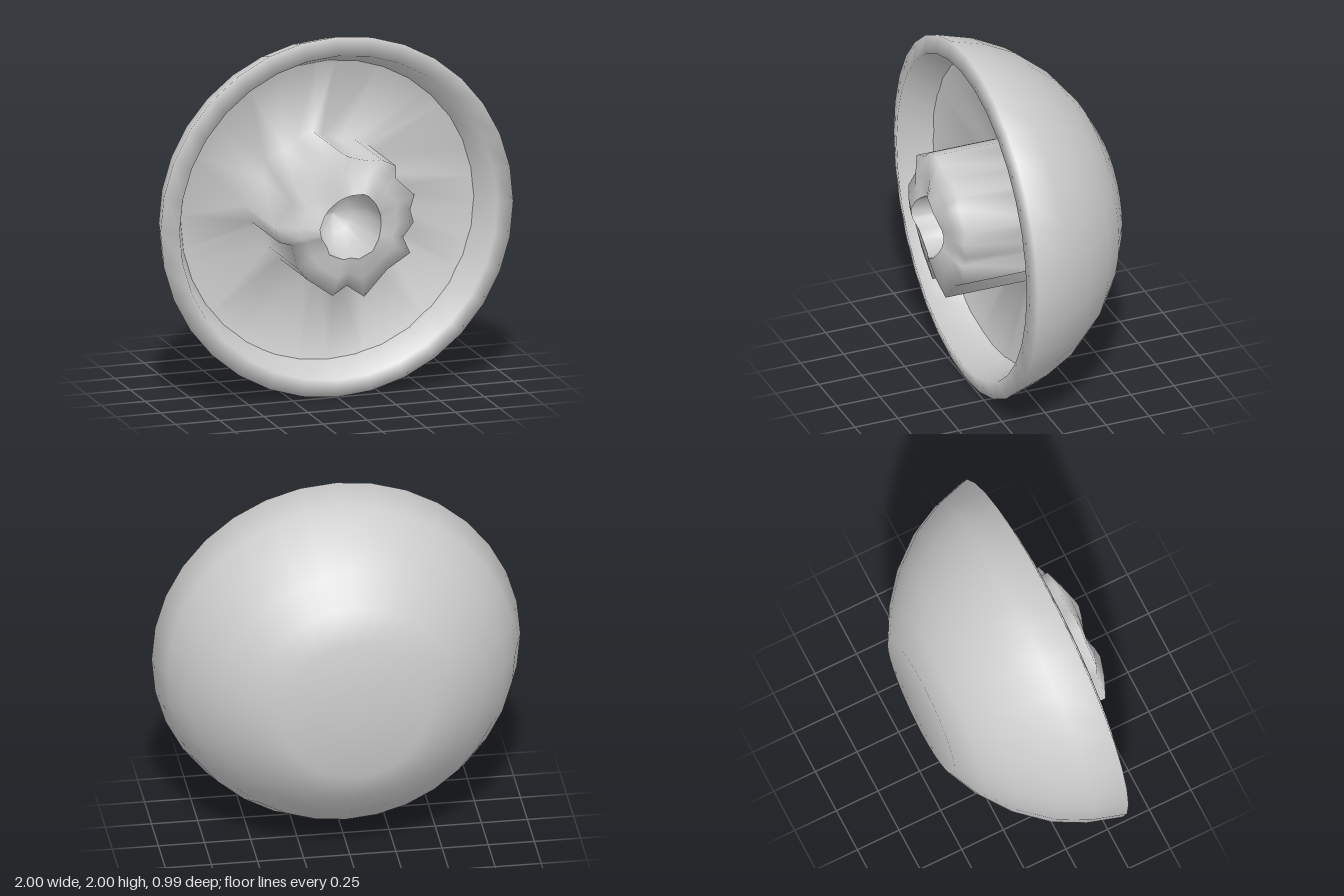
import * as THREE from 'three';

const TAU = Math.PI * 2;
const CENTRE_Y = 1;

// Uneven outlines as x, y pairs about the axis
const COLUMN = [
  [0.36, 0.05], [0.385, 0.13], [0.28, 0.23], [0.28, 0.30], [0.2, 0.34], [0.13, 0.34], [0.02, 0.37],
  [-0.03, 0.40], [-0.12, 0.37], [-0.19, 0.31], [-0.30, 0.26], [-0.31, 0.15], [-0.41, 0.02],
  [-0.38, -0.07], [-0.31, -0.09], [-0.28, -0.22], [-0.22, -0.29], [-0.08, -0.39], [0, -0.34],
  [0.10, -0.41], [0.23, -0.27], [0.36, -0.19], [0.32, -0.10], [0.38, -0.02],
];
const HOLE = [
  [0.18, 0], [0.13, 0.13], [0.08, 0.18], [-0.03, 0.16], [-0.09, 0.12], [-0.15, 0.07], [-0.18, 0.02],
  [-0.13, -0.10], [-0.09, -0.18], [0.02, -0.16], [0.05, -0.18], [0.16, -0.08],
];

const angleOf = ([x, y]) => (Math.atan2(y, x) + TAU) % TAU;

// Radius of an outline at any angle
function polar(outline) {
  const p = outline.map(q => [angleOf(q), Math.hypot(...q)]).sort((a, b) => a[0] - b[0]);
  const n = p.length;
  const all = [[p[n - 1][0] - TAU, p[n - 1][1]], ...p, [p[0][0] + TAU, p[0][1]]];
  return a => {
    let i = 0;
    while (i < n && all[i + 1][0] < a) i++;
    const [a0, r0] = all[i], [a1, r1] = all[i + 1];
    return r0 + (r1 - r0) * (a - a0) / (a1 - a0);
  };
}

// Smooth surface through rings; each ring maps an angle to [radius, z]
function loft(angles, rings) {
  const n = angles.length, pos = [], index = [];
  for (const ring of rings) {
    for (const a of angles) {
      const [r, z] = ring(a);
      pos.push(r * Math.cos(a), r * Math.sin(a), z);
    }
  }
  for (let k = 0; k < rings.length - 1; k++) {
    for (let i = 0; i < n; i++) {
      const j = (i + 1) % n;
      const a = k * n + i, b = k * n + j, c = a + n, d = b + n;
      index.push(a, b, d, a, d, c);
    }
  }
  const geo = new THREE.BufferGeometry();
  geo.setAttribute('position', new THREE.Float32BufferAttribute(pos, 3));
  geo.setIndex(index);
  geo.computeVertexNormals();
  return geo;
}

export function createModel() {
  const group = new THREE.Group();
  const material = new THREE.MeshStandardMaterial({ color: 0xcccccc, side: THREE.DoubleSide });
  const add = (name, geometry) => {
    const mesh = new THREE.Mesh(geometry, material);
    mesh.name = name;
    mesh.position.y = CENTRE_Y;
    group.add(mesh);
  };

  // Domed shell with a rolled rim, closed by a flat back
  const round = Array.from({ length: 32 }, (_, i) => i / 32 * TAU);
  const profile = [
    [0.02, -0.492], [0.4, -0.492], [0.57, -0.4], [0.72, -0.28], [0.86, -0.11], [0.945, 0.06],
    [1, 0.25], [0.9, 0.275], [0.83, 0.09],
  ];
  add('bowlShell', loft(round, [() => [0, -0.492], ...profile.map(p => () => p)]));

  const ragged = COLUMN.map(angleOf).sort((a, b) => a - b);
  const column = polar(COLUMN), hole = polar(HOLE);
  const lip = a => 0.475 + 0.02 * Math.cos(3 * (a - 1.05));

  // Sloping bowl floor running into the ragged column and its crown
  add('floorAndColumn', loft(ragged, [
    () => [0.85, 0.097],
    a => [column(a), -0.06],
    a => [column(a), 0.41],
    a => [(column(a) + hole(a)) / 2, 0.41 + (lip(a) - 0.41) * 0.6],
    a => [hole(a), lip(a)],
  ]));

  // Hollow in the middle of the column
  add('columnHollow', loft(ragged, [
    a => [hole(a), lip(a)],
    a => [hole(a) * 0.92, 0.3],
    a => [hole(a) * 0.55, 0.2],
    () => [0, 0.17],
  ]));

  return group;
}
